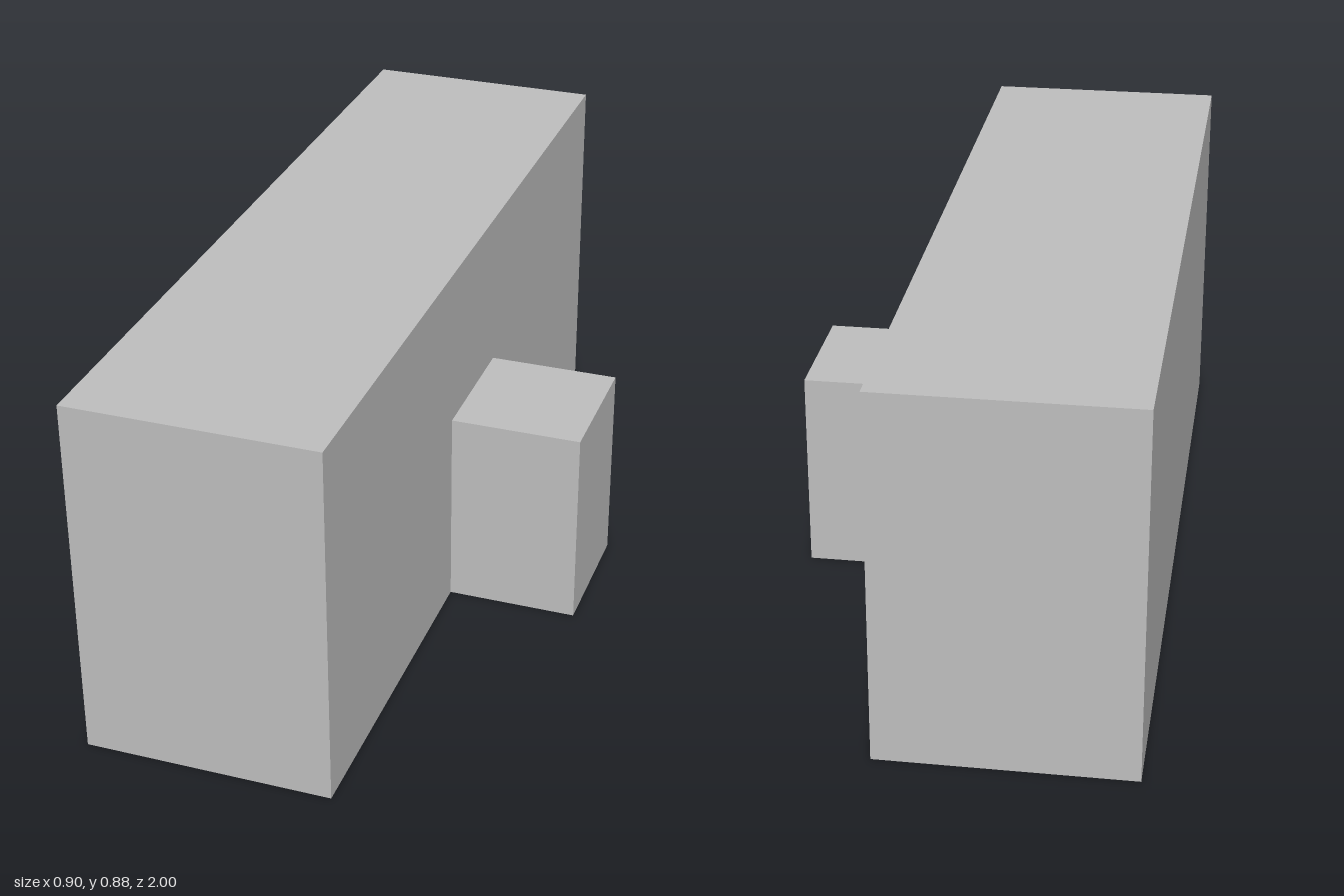
import * as THREE from 'three';

export function createModel() {
  const model = new THREE.Group();
  model.name = 'building';
  const grey = new THREE.MeshStandardMaterial({ color: 0xbfbfbf });
  grey.name = 'light grey';

  // Box standing on the ground, given by its x range, height and depth
  const addBlock = (name, x0, x1, height, depth) => {
    const mesh = new THREE.Mesh(new THREE.BoxGeometry(x1 - x0, height, depth), grey);
    mesh.name = name;
    mesh.position.set((x0 + x1) / 2, height / 2, 0);
    model.add(mesh);
  };

  // Long main hall, and the small porch on its left side
  addBlock('mainHall', -0.45, 0.135, 0.877, 2);
  addBlock('porch', 0.135, 0.45, 0.492, 0.33);

  return model;
}
